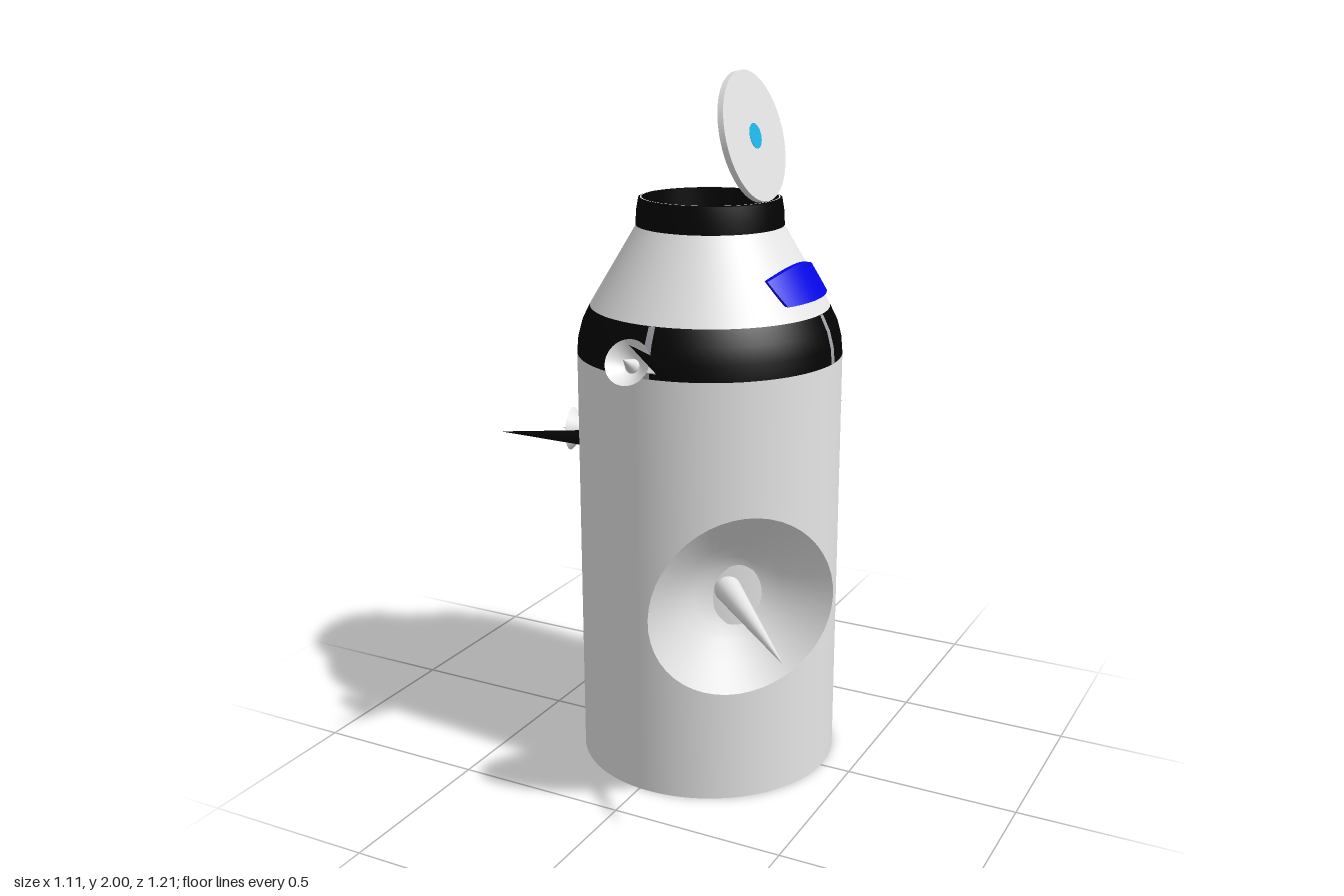
import * as THREE from 'three';
import { toCreasedNormals } from 'three/addons/utils/BufferGeometryUtils.js';

const mat = (name, color) => {
  const m = new THREE.MeshStandardMaterial({ color, side: THREE.DoubleSide });
  m.name = name;
  return m;
};

export function createModel() {
  const white = mat('white paint', 0xe6e6e6);
  const black = mat('black paint', 0x030303);
  const blue = mat('blue glass', 0x0606e4);
  const cyan = mat('cyan light', 0x1fb8ea);
  const grey = mat('grey metal', 0xa1a0a7);

  const model = new THREE.Group();
  model.name = 'spaceCapsule';
  const hull = new THREE.Group();
  hull.name = 'hull';
  hull.position.set(0.034, 0, -0.012);
  model.add(hull);

  const add = (parent, name, geo, material, x = 0, y = 0, z = 0) => {
    const m = new THREE.Mesh(geo, material);
    m.name = name;
    m.position.set(x, y, z);
    parent.add(m);
    return m;
  };
  const lathe = (pts, start = 0, length = Math.PI * 2, segs = 72) =>
    toCreasedNormals(new THREE.LatheGeometry(
      pts.map(p => new THREE.Vector2(p[0], p[1])), segs, start, length), 0.6);

  // Hull: service cylinder with grey base, black shoulder band, cone
  const bandProfile = [[0.377, 1.22], [0.373, 1.265], [0.361, 1.31], [0.339, 1.355]];
  add(hull, 'bodyCylinder', lathe([[0.377, 0], [0.377, 1.22]]), white);
  const base = add(hull, 'basePlate', new THREE.CircleGeometry(0.377, 72), grey);
  base.rotation.x = Math.PI / 2;
  add(hull, 'shoulderBand', lathe(bandProfile), black);
  add(hull, 'cone', lathe([[0.339, 1.355], [0.206, 1.58]]), white);

  // Four strips across the shoulder band
  const stripProfile = bandProfile.map(([r, y]) => [r + 0.002, y]);
  for (let i = 0; i < 4; i++) {
    add(hull, 'bandStrip', lathe(stripProfile, i * Math.PI / 2 - 0.028, 0.056, 2), grey);
  }

  // Neck ring with a pale seal set in its rim
  add(hull, 'neckRing', lathe([[0.208, 1.58], [0.206, 1.62], [0.2, 1.655],
    [0.187, 1.655], [0.187, 1.588]]), black);
  const seal = add(hull, 'neckSeal', new THREE.RingGeometry(0.191, 0.195, 72), white, 0, 1.657, 0);
  seal.rotation.x = -Math.PI / 2;
  add(hull, 'hatchLatch', new THREE.BoxGeometry(0.022, 0.03, 0.026), black, -0.179, 1.62, 0);

  // Cabin interior with floor hatch
  add(hull, 'cabinLining', lathe([[0.36, 1.225], [0.33, 1.35], [0.187, 1.59]]), white);
  add(hull, 'cabinFloor', new THREE.CylinderGeometry(0.36, 0.36, 0.01, 64), grey, 0, 1.23, 0);
  const s = 0.08, c = 0.02;
  const square = new THREE.Shape();
  square.moveTo(-s + c, -s);
  square.lineTo(s - c, -s).quadraticCurveTo(s, -s, s, -s + c);
  square.lineTo(s, s - c).quadraticCurveTo(s, s, s - c, s);
  square.lineTo(-s + c, s).quadraticCurveTo(-s, s, -s, s - c);
  square.lineTo(-s, -s + c).quadraticCurveTo(-s, -s, -s + c, -s);
  const plate = add(hull, 'floorHatch',
    new THREE.ExtrudeGeometry(square, { depth: 0.006, bevelEnabled: false }), grey, 0, 1.235, 0);
  plate.rotation.x = -Math.PI / 2;
  add(hull, 'floorLight', new THREE.CylinderGeometry(0.025, 0.025, 0.008, 16), cyan, 0, 1.243, 0);

  // Open lid with a light through its centre
  const lid = new THREE.Group();
  lid.name = 'lid';
  lid.position.set(0.128, 1.826, 0);
  lid.rotation.z = -1.326;
  hull.add(lid);
  add(lid, 'lidDisc', new THREE.CylinderGeometry(0.179, 0.179, 0.017, 64), white);
  add(lid, 'lidLight', new THREE.CylinderGeometry(0.035, 0.035, 0.019, 16), cyan);
  add(hull, 'lidHinge', new THREE.BoxGeometry(0.016, 0.025, 0.05), black, 0.184, 1.642, 0);

  // Raised window bent around the cone, facing +x
  const win = new THREE.BoxGeometry(2, 1, 1, 24, 6, 1);
  const p = win.attributes.position;
  for (let i = 0; i < p.count; i++) {
    const u = p.getX(i), v = p.getY(i) + 0.5;
    const y = 1.396 + v * (0.093 - 0.026 * u * u);
    const a = u * (0.42 + 0.13 * v);
    const r = 0.339 - (y - 1.355) * 0.59 + 0.002 + p.getZ(i) * 0.024;
    p.setXYZ(i, r * Math.cos(a), y, -r * Math.sin(a));
  }
  win.computeVertexNormals();
  add(hull, 'window', win, blue);

  // Dish opening along +z, with a pointed feed in the middle
  const dish = (parent, radius, depth, feedRadius, feedTip, offset) => {
    const g = new THREE.Group();
    g.name = 'dish';
    g.position.z = offset;
    parent.add(g);
    const bowl = new THREE.LatheGeometry(
      [[0, -1], [0.13, -0.98], [0.26, -0.93], [0.39, -0.84], [0.55, -0.65], [0.76, -0.35], [1, 0]]
        .map(([r, d]) => new THREE.Vector2(r * radius, d * depth)), 48);
    add(g, 'bowl', bowl.rotateX(Math.PI / 2), white);
    const length = feedTip + depth * 0.9;
    const feed = new THREE.ConeGeometry(feedRadius, length, 24).rotateX(Math.PI / 2);
    add(g, 'feed', feed, white, 0, 0, feedTip - length / 2);
    add(g, 'feedBase', new THREE.SphereGeometry(feedRadius, 20, 12), white, 0, 0, -depth * 0.9);
  };
  const mount = (name, x, y, z, yaw, pitch) => {
    const g = new THREE.Group();
    g.name = name;
    g.position.set(x, y, z);
    g.rotation.set(pitch, yaw, 0, 'YXZ');
    model.add(g);
    return g;
  };

  // Large dish at the front left
  dish(mount('mainAntenna', 0.329, 0.63, 0.382, Math.PI / 4, 0.085), 0.261, 0.13, 0.037, 0.312, 0);

  // Small dishes, each beside a black spike
  const units = [
    ['frontSensor', 0, 1.265, 0.395, 0.08, -0.5],
    ['rightSensor', -0.381, 0.945, 0.05, Math.atan2(-0.965, 0.22), 0],
    ['backSensor', 0.23, 0.945, -0.386, Math.atan2(0.3, -0.955), 0],
  ];
  for (const u of units) {
    const g = mount(...u);
    dish(g, 0.064, 0.042, 0.02, 0.03, 0.012);
    const spike = new THREE.ConeGeometry(0.022, 0.255, 20).rotateX(Math.PI / 2);
    add(g, 'spike', spike, black, 0.085, 0, 0.0775);
    add(g, 'bracket', new THREE.BoxGeometry(0.08, 0.025, 0.016), white, 0.045, 0, -0.036);
  }
  return model;
}
